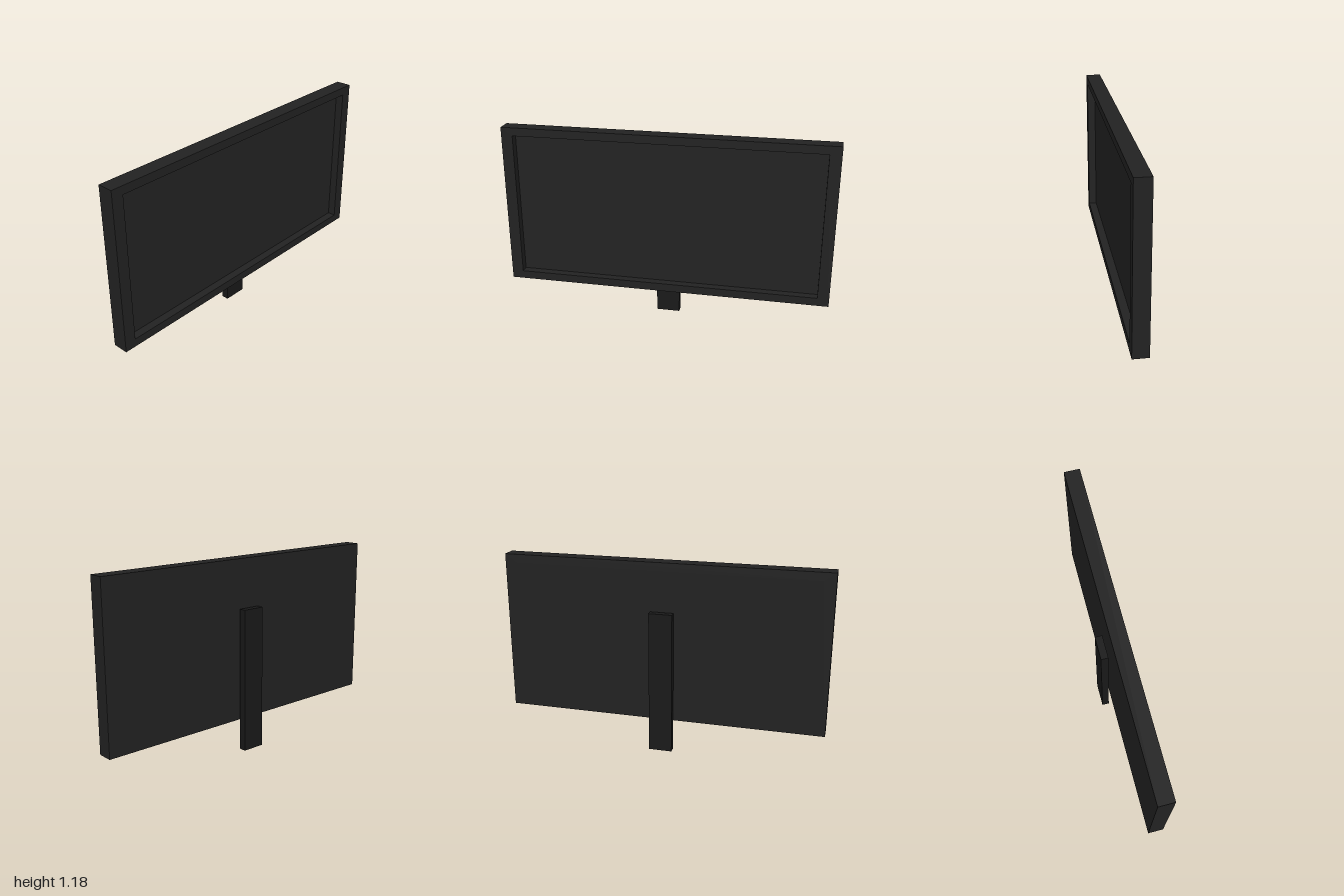
import * as THREE from 'three';

const casingMat = new THREE.MeshStandardMaterial({ name: 'casing charcoal', color: 0x222222 });
const screenMat = new THREE.MeshStandardMaterial({ name: 'screen charcoal', color: 0x232323 });
const standMat = new THREE.MeshStandardMaterial({ name: 'stand black', color: 0x191919 });

// Box given by its minimum and maximum corners
function box(name, material, min, max) {
  const size = max.map((v, i) => v - min[i]);
  const mesh = new THREE.Mesh(new THREE.BoxGeometry(...size), material);
  mesh.position.set(...max.map((v, i) => (v + min[i]) / 2));
  mesh.name = name;
  return mesh;
}

// Counter-clockwise rectangle points
const rect = (x, y0, y1) => [[-x, y0], [x, y0], [x, y1], [-x, y1]].map(p => new THREE.Vector2(...p));

export function createModel() {
  const model = new THREE.Group();
  model.name = 'monitor';
  const back = -0.02, screenZ = 0.025, front = 0.075;

  // Bezel and casing walls, with a rectangular opening for the screen
  const outline = new THREE.Shape(rect(1, 0.19, 1.185));
  outline.holes.push(new THREE.Path(rect(0.93, 0.24, 1.135).reverse()));
  const bezel = new THREE.Mesh(
    new THREE.ExtrudeGeometry(outline, { depth: front - back, bevelEnabled: false }), casingMat);
  bezel.position.z = back;
  bezel.name = 'bezel';
  model.add(bezel);

  // Rear panel closes the casing; the screen sits recessed in front of it
  model.add(box('rearPanel', casingMat, [-0.93, 0.24, back], [0.93, 1.135, screenZ - 0.008]));
  model.add(box('screen', screenMat, [-0.93, 0.24, screenZ - 0.008], [0.93, 1.135, screenZ]));

  // Upright plate standing just behind the casing
  model.add(box('stand', standMat, [-0.072, 0, -0.075], [0.072, 0.887, -0.031]));
  return model;
}
